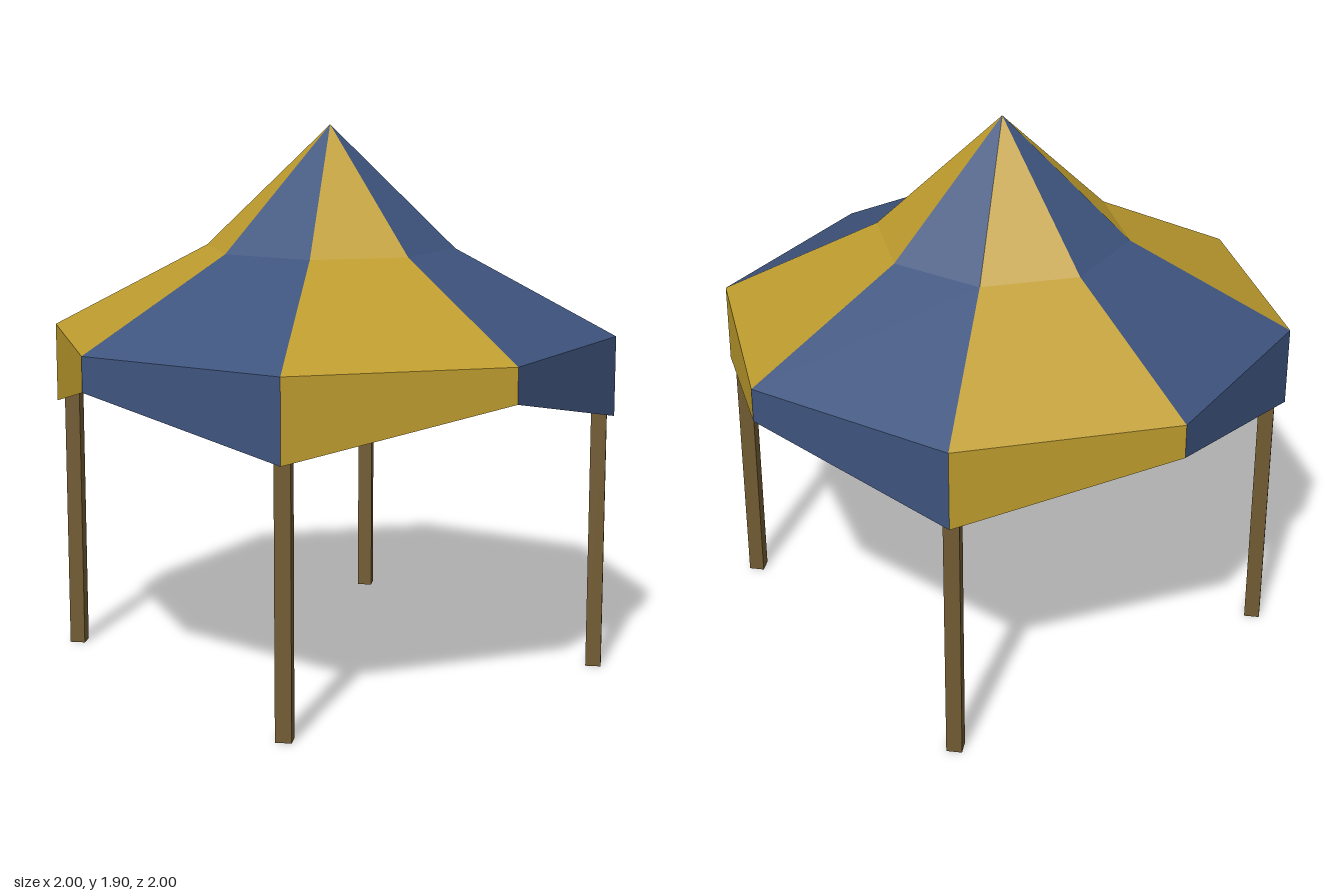
import * as THREE from 'three';

const SIDES = 8;

function makeMaterial(name, color) {
  const material = new THREE.MeshStandardMaterial({ color, side: THREE.DoubleSide, flatShading: true });
  material.name = name;
  return material;
}

export function createModel() {
  const yellow = makeMaterial('yellow canvas', 0xbd9b2d);
  const blue = makeMaterial('blue canvas', 0x3e547e);
  const wood = makeMaterial('wood', 0x705a31);

  const model = new THREE.Group();
  model.name = 'pavilionTent';

  // Rings of the canopy; the hem hangs lower at the corners that carry posts
  const ring = (radius, evenY, oddY = evenY) => (i) => {
    const a = (i / SIDES) * Math.PI * 2;
    return [Math.cos(a) * radius, i % 2 ? oddY : evenY, Math.sin(a) * radius];
  };
  const peak = ring(0, 1.9);
  const fold = ring(0.44, 1.476);
  const eave = ring(1, 1.18);
  const hem = ring(1, 1.06, 0.9);
  const liningPeak = ring(0, 1.66);

  // A band of flat panels in alternating colours; a pointed band has triangles
  function addBand(name, lower, upper, pointed = false) {
    const band = new THREE.Group();
    band.name = name;
    for (let i = 0; i < SIDES; i++) {
      const [a, b, c, d] = [lower(i + 1), lower(i), upper(i), upper(i + 1)];
      const points = pointed ? [a, b, c] : [a, b, c, a, c, d];
      const geometry = new THREE.BufferGeometry();
      geometry.setAttribute('position', new THREE.Float32BufferAttribute(points.flat(), 3));
      geometry.computeVertexNormals();
      const panel = new THREE.Mesh(geometry, i % 2 ? blue : yellow);
      panel.name = name + 'Panel';
      band.add(panel);
    }
    model.add(band);
  }
  addBand('upperRoof', fold, peak, true);
  addBand('lowerRoof', eave, fold);
  addBand('valance', hem, eave);
  // Inner lining rises straight from the hem to a lower point
  addBand('lining', hem, liningPeak, true);

  // Hollow square posts at the diagonal corners, turned to face the centre
  const postHeight = 1.08;
  const postGeometry = new THREE.CylinderGeometry(0.038, 0.038, postHeight, 4, 1, true);
  for (const sx of [-1, 1]) {
    for (const sz of [-1, 1]) {
      const offset = sx < 0 && sz > 0 ? 0.663 : 0.67;
      const post = new THREE.Mesh(postGeometry, wood);
      post.name = 'post';
      post.position.set(sx * offset, postHeight / 2, sz * offset);
      model.add(post);
    }
  }

  return model;
}
